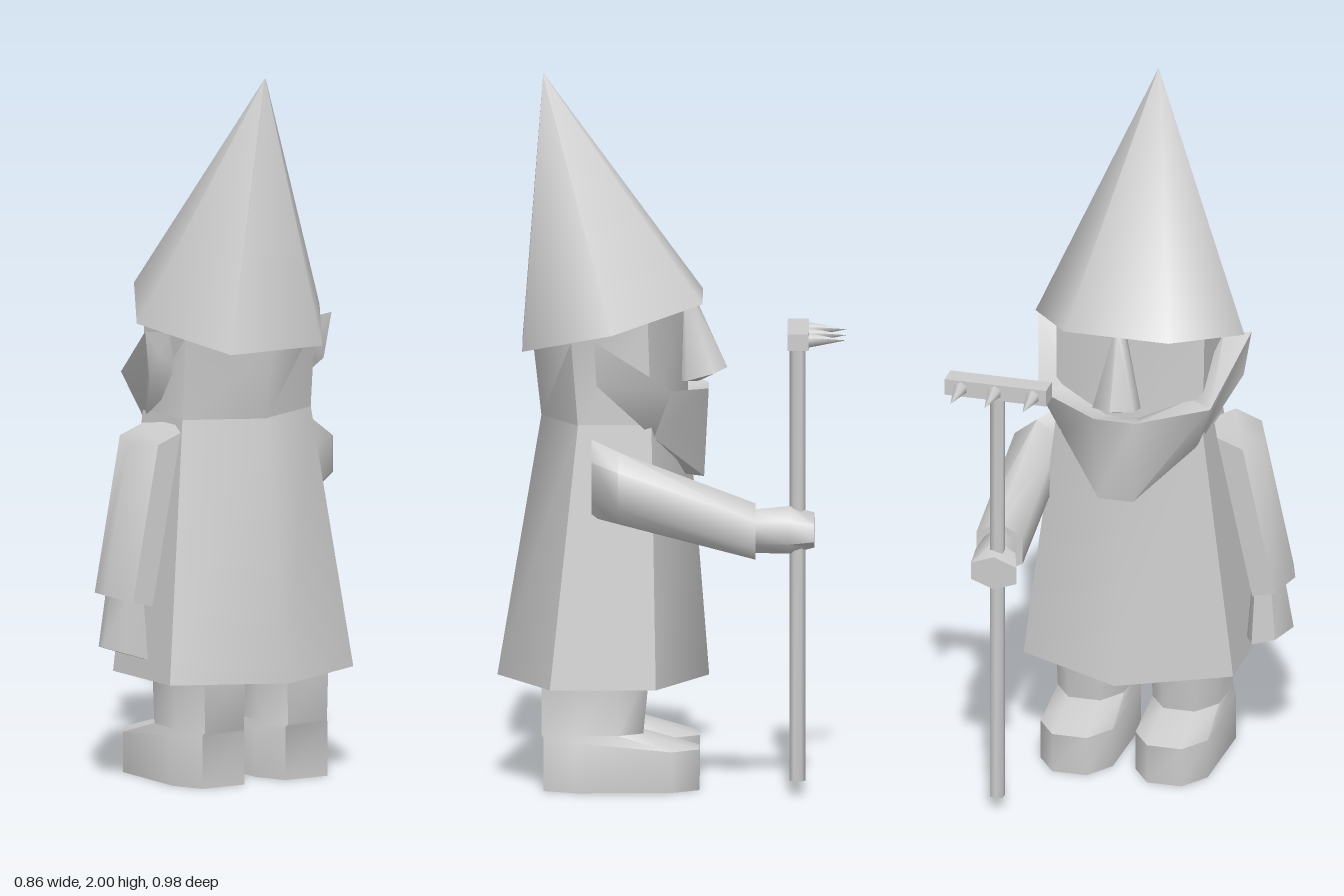
import * as THREE from 'three';
import { toCreasedNormals } from 'three/addons/utils/BufferGeometryUtils.js';

// Unit hexagons: one pointing along its first axis, one along its second
const HEX_U = [[1, 0], [0.5, 1], [-0.5, 1], [-1, 0], [-0.5, -1], [0.5, -1]];
const HEX_V = HEX_U.map(([u, v]) => [v, u]);

// Ring lying flat; y may be a number or a function of (x, z)
const flatRing = (hex, cx, y, cz, rx, rz) => hex.map(([u, v]) => {
  const x = cx + u * rx, z = cz + v * rz;
  return [x, typeof y === 'function' ? y(x, z) : y, z];
});

// Upright ring facing z, given by its extents
const uprightRing = (x0, x1, y0, y1, z) => HEX_V.map(([u, v]) =>
  [(x0 + x1) / 2 + u * (x1 - x0) / 2, (y0 + y1) / 2 + v * (y1 - y0) / 2, z]);

// Closed skin through a list of rings, with outward faces
function loft(rings, crease = 1.1) {
  const tris = [], n = rings[0].length;
  const add = (a, b, c) => tris.push([a, b, c]);
  for (let i = 0; i + 1 < rings.length; i++) {
    for (let j = 0; j < n; j++) {
      const k = (j + 1) % n, A = rings[i], B = rings[i + 1];
      add(A[j], A[k], B[k]);
      add(A[j], B[k], B[j]);
    }
  }
  const cap = (ring, flip) => {
    const c = [0, 1, 2].map((d) => ring.reduce((s, p) => s + p[d], 0) / n);
    ring.forEach((p, j) => {
      const q = ring[(j + 1) % n];
      if (flip) add(c, q, p); else add(c, p, q);
    });
  };
  cap(rings[0], true);
  cap(rings[rings.length - 1], false);
  const volume = tris.reduce((s, [a, b, c]) => s
    + a[0] * (b[1] * c[2] - b[2] * c[1])
    + a[1] * (b[2] * c[0] - b[0] * c[2])
    + a[2] * (b[0] * c[1] - b[1] * c[0]), 0);
  const flat = tris.flatMap(([a, b, c]) => (volume < 0 ? [a, c, b] : [a, b, c])).flat();
  const geo = new THREE.BufferGeometry();
  geo.setAttribute('position', new THREE.Float32BufferAttribute(flat, 3));
  return toCreasedNormals(geo, crease);
}

export function createModel() {
  const model = new THREE.Group();
  model.name = 'gardenFigure';
  const grey = new THREE.MeshStandardMaterial({ color: 0xcccccc });
  grey.name = 'stone grey';
  const add = (name, geo, x = 0, y = 0, z = 0) => {
    const mesh = new THREE.Mesh(geo, grey);
    mesh.name = name;
    mesh.position.set(x, y, z);
    model.add(mesh);
    return mesh;
  };
  const mid = 0.01; // body centre line

  // Robe and head
  add('robe', loft([
    flatRing(HEX_V, mid, 0.3, 0.193, 0.305, 0.297),
    flatRing(HEX_V, mid, 1.04, 0.16, 0.213, 0.206),
  ]));
  const brim = (x, z) => 1.237 + (0.42 - z) * 0.267;
  add('head', loft([
    flatRing(HEX_V, mid, 1.03, 0.16, 0.213, 0.206),
    flatRing(HEX_V, mid, brim, 0.175, 0.215, 0.215),
  ]));

  // Pointed hat with a tilted brim
  add('hat', loft([
    flatRing(HEX_U, mid, brim, 0.167, 0.304, 0.253),
    flatRing(HEX_U, mid, 2.0, 0.36, 0.002, 0.002),
  ]));

  // Nose
  add('nose', loft([
    flatRing(HEX_V, mid, 1.37, -0.045, 0.015, 0.02),
    flatRing(HEX_V, mid, (x, z) => 1.15 - (z + 0.075) * 0.27, -0.08, 0.06, 0.075),
    flatRing(HEX_V, mid, 1.135, -0.06, 0.02, 0.02),
  ]));

  // Beard: sections are outer top, outer bottom, inner bottom, inner top
  const half = [
    [[-0.31, 1.29, 0.22], [-0.29, 1.16, 0.21], [-0.2, 1.16, 0.21], [-0.23, 1.28, 0.22]],
    [[-0.25, 1.14, 0.0], [-0.2, 1.0, 0.05], [-0.14, 1.0, 0.1], [-0.18, 1.14, 0.06]],
    [[-0.06, 1.12, -0.103], [-0.05, 0.87, -0.09], [-0.04, 0.88, 0.0], [-0.05, 1.1, -0.02]],
  ];
  const shifted = (sign) => half.map((s) => s.map(([x, y, z]) => [mid + sign * x, y, z]));
  add('beard', loft([...shifted(1), ...shifted(-1).reverse()]));

  // Raised arm holding the rake
  add('raisedSleeve', loft([
    uprightRing(0.17, 0.31, 0.78, 1.0, 0.225),
    uprightRing(0.24, 0.37, 0.77, 0.975, 0.15),
    uprightRing(0.24, 0.375, 0.67, 0.83, -0.235),
  ]));
  add('grippingHand', loft([
    uprightRing(0.27, 0.35, 0.69, 0.81, -0.2),
    uprightRing(0.235, 0.35, 0.685, 0.82, -0.33),
    uprightRing(0.212, 0.345, 0.7, 0.8, -0.4),
  ]));

  // Lowered arm
  add('loweredSleeve', loft([
    flatRing(HEX_U, -0.27, (x) => 1.02 + (x + 0.2) * 0.38, 0.2, 0.075, 0.1),
    flatRing(HEX_U, -0.365, (x) => 0.515 - (x + 0.3) * 0.27, 0.21, 0.065, 0.1),
  ]));
  add('loweredHand', loft([
    flatRing(HEX_U, -0.355, 0.56, 0.2, 0.045, 0.06),
    flatRing(HEX_U, -0.36, (x) => 0.355 - (x + 0.29) * 0.33, 0.2, 0.068, 0.075),
  ]));

  // Legs with boots, toes toward the rake
  for (const side of [-1, 1]) {
    const cx = mid + side * 0.138;
    const sole = (y, w, toe) => [[0.07, 0.36], [0.112, 0.27], [0.105, 0.0], [0.05, toe],
      [-0.05, toe], [-0.105, 0.0], [-0.112, 0.27], [-0.07, 0.36]]
      .map(([x, z]) => [cx + x * w, y(z), z]);
    const ankle = (y, w, front) => [[0.07, 0.365], [0.112, 0.27], [0.105, 0.15], [0.05, front],
      [-0.05, front], [-0.105, 0.15], [-0.112, 0.27], [-0.07, 0.365]]
      .map(([x, z]) => [cx + x * w, y, z]);
    add(side < 0 ? 'rightLeg' : 'leftLeg', loft([
      sole(() => 0, 1, -0.077),
      sole((z) => 0.115 + Math.max(0, z) * 0.1, 1, -0.077),
      ankle(0.16, 0.92, 0.08),
      ankle(0.36, 1, 0.06),
    ]));
  }

  // Rake
  add('rakePole', toCreasedNormals(new THREE.CylinderGeometry(0.022, 0.022, 1.25, 6), 1.1), 0.281, 0.665, -0.353);
  add('rakeBar', new THREE.BoxGeometry(0.295, 0.048, 0.06), 0.278, 1.303, -0.355);
  for (const x of [0.17, 0.281, 0.38]) {
    const tine = add('rakeTine', new THREE.ConeGeometry(0.021, 0.107, 6), x, 1.303, -0.4365);
    tine.rotation.x = -Math.PI / 2;
  }
  return model;
}
